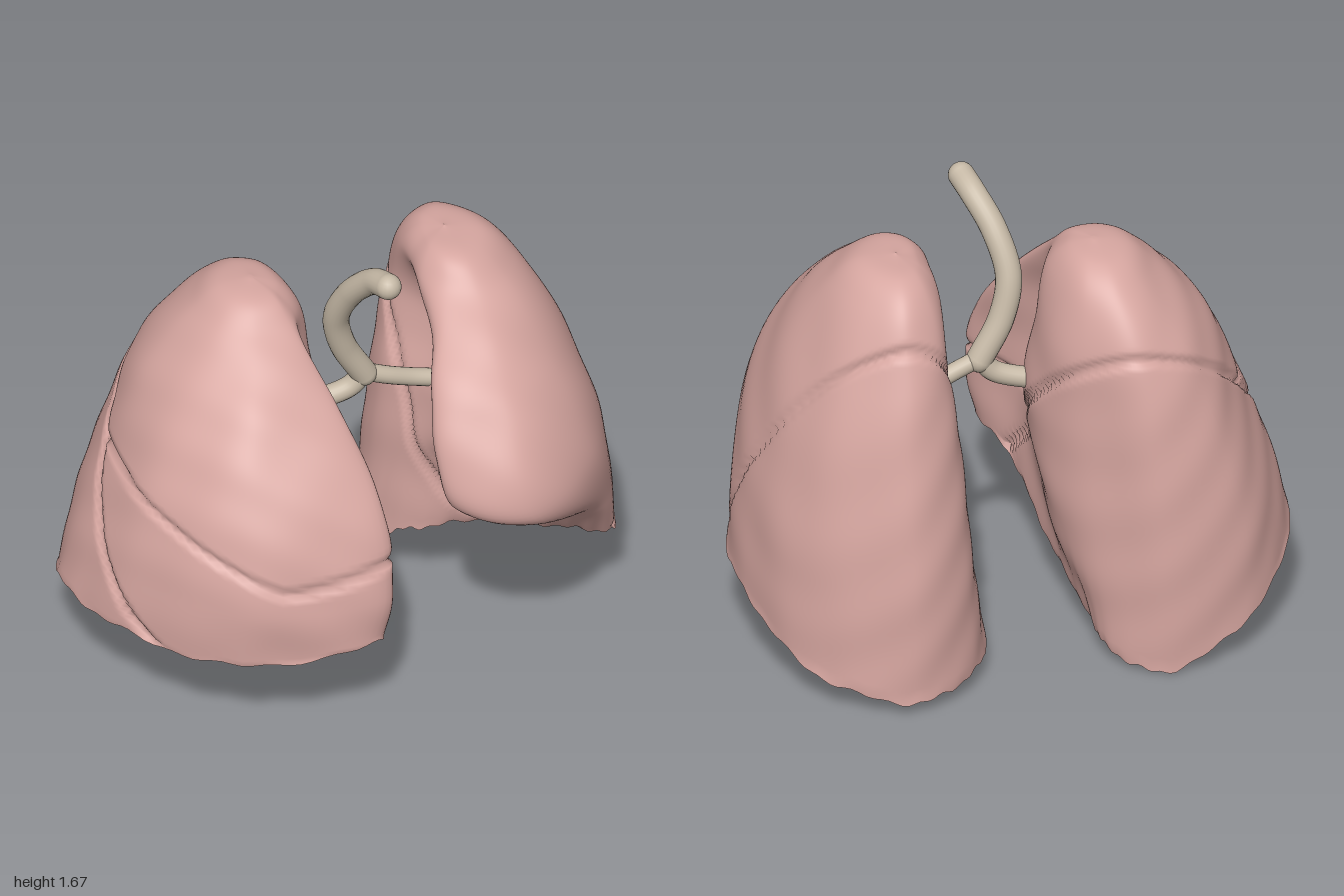
import * as THREE from 'three';

const COLS = 140, ROWS = 100, BASE_ROWS = 16;
const pink = new THREE.MeshStandardMaterial({ color: 0xd6a6a0, side: THREE.DoubleSide });
const tan = new THREE.MeshStandardMaterial({ color: 0xc6b9a6 });
const V = (x, y, z) => new THREE.Vector3(x, y, z);

// Horizontal section: [x, z] corners at height y, or [x, z, own height].
// Corner order: medial back, back, lateral, front, medial front, hilum.
const loop = (y, pts) => pts.map(([x, z, h = y]) => V(x, h, z));
const shrink = (pts, c, k, y) => pts.map(p => V(c.x + (p.x - c.x) * k, y, c.z + (p.z - c.z) * k));

const leftLoops = [
  loop(0, [[.12, -.36, .1], [.2, -.58, .08], [.42, -.71, .05], [.75, -.6, .13], [.95, -.25, .28],
    [.96, .08, .34], [.78, .14, .42], [.55, .02, .41], [.32, -.08, .34], [.2, -.2, .25]]),
  loop(.6, [[.18, -.36, .5], [.22, -.57, .5], [.42, -.7, .5], [.76, -.56, .55], [.94, -.2],
    [.93, .17, .55], [.76, .32, .62], [.5, .22, .74], [.36, 0, .68], [.24, -.18]]),
  loop(.9, [[.22, -.34], [.25, -.53], [.43, -.64], [.73, -.5], [.9, -.1],
    [.83, .35], [.55, .61, .84], [.28, .5, .86], [.36, .2], [.32, -.12]]),
  loop(1.2, [[.26, -.36], [.28, -.48], [.42, -.56], [.65, -.45], [.8, -.1],
    [.72, .25], [.5, .44], [.25, .36], [.34, .12], [.41, -.12]]),
  loop(1.46, [[.28, -.28], [.32, -.39], [.42, -.44], [.55, -.36], [.65, -.15],
    [.59, .03], [.47, .11], [.36, .08], [.29, -.02], [.28, -.15]]),
];

const rightLoops = [
  loop(0, [[-.25, -.3, .12], [-.3, -.45, .06], [-.48, -.56, .01], [-.8, -.48, .17], [-.99, -.12, .34],
    [-.88, .28, .38], [-.5, .62, .38], [0, .64, .43], [-.08, .35, .38], [-.15, 0, .26]]),
  loop(.6, [[-.14, -.28, .5], [-.26, -.45, .45], [-.5, -.57, .45], [-.8, -.46, .5], [-.93, -.08],
    [-.83, .32], [-.48, .64], [.04, .62], [-.1, .34], [-.12, .02, .55]]),
  loop(.9, [[-.1, -.25], [-.24, -.42], [-.46, -.54], [-.7, -.44], [-.82, -.08],
    [-.75, .3], [-.45, .57], [.03, .52], [-.16, .25], [-.06, -.04]]),
  loop(1.2, [[-.12, -.25], [-.24, -.4], [-.42, -.48], [-.6, -.38], [-.7, -.08],
    [-.62, .2], [-.4, .38], [-.08, .3], [-.2, .14], [-.1, -.06]]),
  loop(1.42, [[-.17, -.2], [-.24, -.31], [-.35, -.35], [-.45, -.28], [-.52, -.1],
    [-.46, .06], [-.34, .13], [-.2, .1], [-.17, .03], [-.14, -.07]]),
];

// Closed grid of points: point(column, row) for all columns around and rows up.
function grid(rows, flip, point) {
  const pos = [], index = [];
  for (let j = 0; j <= rows; j++)
    for (let i = 0; i < COLS; i++) pos.push(...point(i, j).toArray());
  for (let j = 0; j < rows; j++)
    for (let i = 0; i < COLS; i++) {
      const n = (i + 1) % COLS, a = j * COLS + i, b = j * COLS + n, c = a + COLS, d = b + COLS;
      index.push(...(flip ? [a, b, c, b, d, c] : [a, c, b, b, c, d]));
    }
  const g = new THREE.BufferGeometry();
  g.setAttribute('position', new THREE.Float32BufferAttribute(pos, 3));
  g.setIndex(index);
  g.computeVertexNormals();
  return g;
}

// Lung: skin lofted from rim to apex, cut by fissure grooves into lobes, with a hollow base.
function lung(name, loops, apex, baseTop, flip, fissures, lobeNames, lobeOf) {
  const group = new THREE.Group();
  group.name = name;
  const top = loops[loops.length - 1];
  const sections = [...loops, shrink(top, apex, .6, apex.y - .025)]
    .map(pts => new THREE.CatmullRomCurve3(pts, true));
  const columns = Array.from({ length: COLS }, (_, i) => {
    const pts = sections.map(s => s.getPoint(i / COLS));
    pts[0].y += .012 * Math.sin(i * .9) * Math.sin(i * .37); // ragged lower rim
    return new THREE.CatmullRomCurve3([...pts, apex]);
  });
  const skin = grid(ROWS, flip, (i, j) => columns[i].getPoint(j / ROWS));

  // Press the fissures and a faint unevenness into the skin
  const p = skin.attributes.position, n = skin.attributes.normal;
  const v = V(0, 0, 0), m = V(0, 0, 0);
  for (let k = COLS; k < p.count - COLS; k++) {
    v.fromBufferAttribute(p, k);
    m.fromBufferAttribute(n, k);
    let depth = .004 * Math.sin(v.x * 17 + v.y * 9) * Math.sin(v.z * 15 - v.y * 13);
    for (const f of fissures) depth += .022 * Math.exp(-((f(v) / .013) ** 2));
    v.addScaledVector(m, -depth);
    p.setXYZ(k, v.x, v.y, v.z);
  }
  skin.computeVertexNormals();

  // Share the skin out between the lobes
  const parts = lobeNames.map(() => []), idx = skin.index.array;
  for (let t = 0; t < idx.length; t += 3) {
    v.set(0, 0, 0);
    for (let k = 0; k < 3; k++) v.add(m.fromBufferAttribute(p, idx[t + k]));
    parts[lobeOf(v.divideScalar(3))].push(idx[t], idx[t + 1], idx[t + 2]);
  }
  parts.forEach((list, k) => {
    const g = new THREE.BufferGeometry();
    g.setAttribute('position', skin.attributes.position);
    g.setAttribute('normal', skin.attributes.normal);
    g.setIndex(list);
    const mesh = new THREE.Mesh(g, pink);
    mesh.name = lobeNames[k];
    group.add(mesh);
  });

  // Domed hollow where the lung rests on the diaphragm
  const centre = loops[0].reduce((s, q) => s.add(q), V(0, 0, 0)).divideScalar(loops[0].length);
  const base = new THREE.Mesh(grid(BASE_ROWS, flip, (i, j) => {
    const r = j / BASE_ROWS, rim = columns[i].getPoint(0);
    return V(centre.x + (rim.x - centre.x) * r, baseTop + (rim.y - baseTop) * r ** 2,
      centre.z + (rim.z - centre.z) * r);
  }), pink);
  base.name = name + 'Base';
  group.add(base);
  return group;
}

// Windpipe and bronchi
function airway(name, pts, r) {
  const group = new THREE.Group();
  group.name = name;
  const path = new THREE.CatmullRomCurve3(pts.map(q => V(...q)));
  group.add(new THREE.Mesh(new THREE.TubeGeometry(path, 40, r, 20), tan));
  for (const end of [pts[0], pts[pts.length - 1]]) {
    const cap = new THREE.Mesh(new THREE.SphereGeometry(r, 20, 12), tan);
    cap.position.set(...end);
    group.add(cap);
  }
  group.children.forEach((c, k) => { c.name = name + (k ? 'End' : 'Tube'); });
  return group;
}

export function createModel() {
  const model = new THREE.Group();
  model.name = 'lungs';

  // Signed distances to the fissures
  const oblique = (a, b) => q => (q.y - a - b * q.z) / Math.hypot(1, b);
  const leftOblique = oblique(.505, -1.69), rightOblique = oblique(.78, -.95);
  const level = q => q.y - .68 - .5 * Math.max(0, -.35 - q.x) - .15 * Math.max(0, q.x + .3);
  const horizontal = q => (rightOblique(q) > 0 ? level(q) : 1);

  model.add(lung('leftLung', leftLoops, V(.41, 1.57, -.18), .42, false,
    [leftOblique], ['leftLowerLobe', 'leftUpperLobe'], q => (leftOblique(q) > 0 ? 1 : 0)));
  model.add(lung('rightLung', rightLoops, V(-.3, 1.52, -.1), .45, true,
    [rightOblique, horizontal], ['rightLowerLobe', 'rightMiddleLobe', 'rightUpperLobe'],
    q => (rightOblique(q) < 0 ? 0 : level(q) < 0 ? 1 : 2)));

  model.add(airway('trachea', [[.12, 1.63, .21], [.09, 1.6, .13], [.03, 1.5, .04],
    [-.01, 1.35, -.03], [.02, 1.2, -.06], [.1, 1.05, -.08]], .047));
  model.add(airway('leftBronchus', [[.09, 1.06, -.08], [.18, 1.02, -.09], [.28, .98, -.11], [.4, .95, -.12]], .032));
  model.add(airway('rightBronchus', [[.1, 1.06, -.08], [.05, 1, -.08], [-.12, .95, -.08]], .038));
  return model;
}
